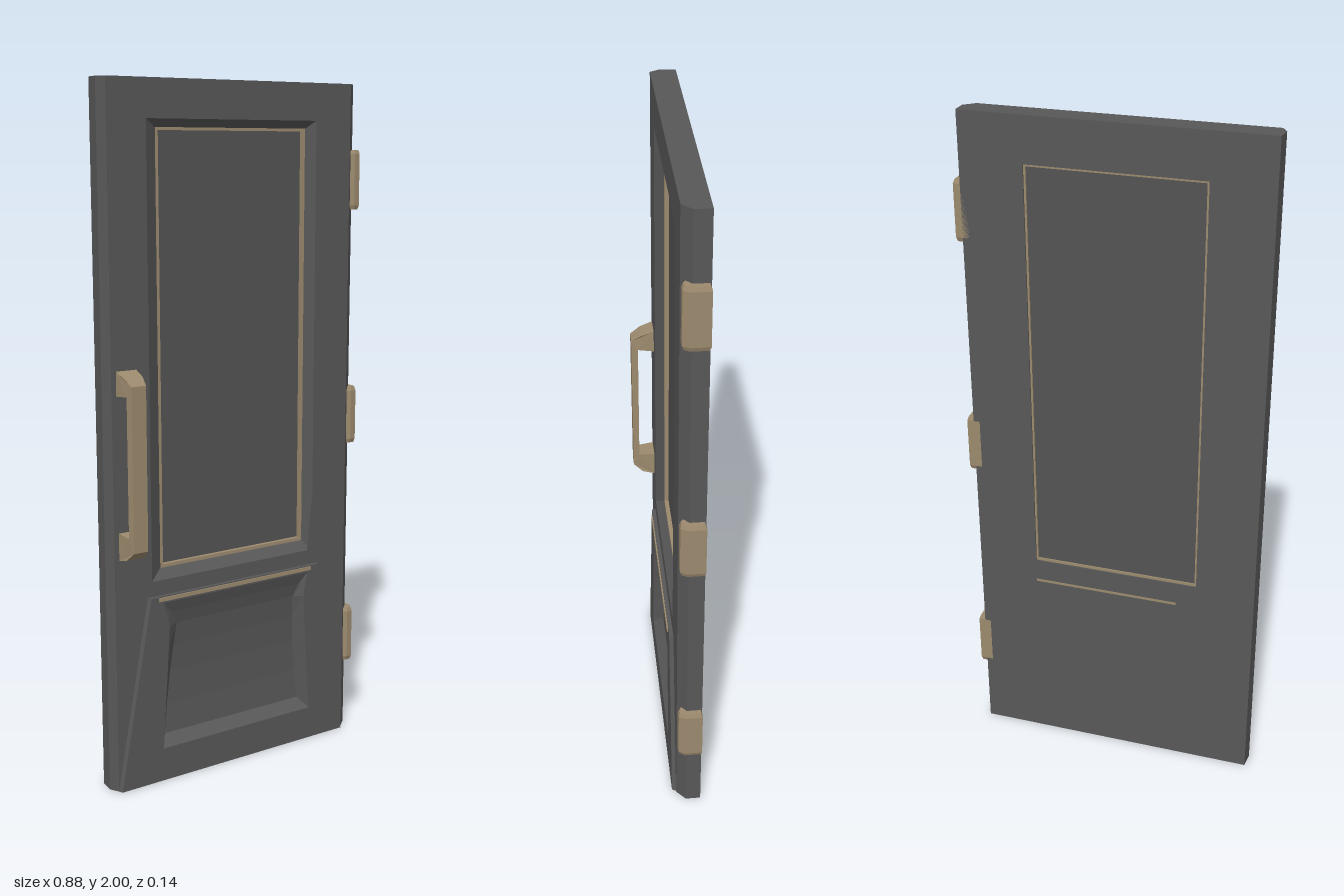
import * as THREE from 'three';

const charcoal = new THREE.MeshStandardMaterial({ color: 0x585858, side: THREE.DoubleSide });
charcoal.name = 'charcoal paint';
const smoke = new THREE.MeshStandardMaterial({ color: 0x545454 });
smoke.name = 'smoked glass';
const bronze = new THREE.MeshStandardMaterial({ color: 0x9c8a6e });
bronze.name = 'pale bronze';

const MID = -0.025; // depth where the side edges change angle

function add(parent, name, geometry, material) {
  const mesh = new THREE.Mesh(geometry, material);
  mesh.name = name;
  parent.add(mesh);
  return mesh;
}

const polygon = (points) => new THREE.Shape(points.map(([x, y]) => new THREE.Vector2(x, y)));
const rect = (x0, y0, x1, y1) => polygon([[x0, y0], [x1, y0], [x1, y1], [x0, y1]]);

// Extrude from z0 to z1, then move each vertex by an optional rule
function slab(shape, holes, z0, z1, rule) {
  shape.holes = holes;
  const geometry = new THREE.ExtrudeGeometry(shape, { depth: z1 - z0, bevelEnabled: false });
  geometry.translate(0, 0, z0);
  if (rule) bend(geometry, rule);
  return geometry;
}

function bend(geometry, rule) {
  const p = geometry.attributes.position;
  const v = new THREE.Vector3();
  for (let i = 0; i < p.count; i++) {
    rule(v.fromBufferAttribute(p, i));
    p.setXYZ(i, v.x, v.y, v.z);
  }
  geometry.computeVertexNormals();
}

const box = (x0, x1, y0, y1, z0, z1) =>
  new THREE.BoxGeometry(x1 - x0, y1 - y0, z1 - z0).translate((x0 + x1) / 2, (y0 + y1) / 2, (z0 + z1) / 2);

// Waisted outline of the lower recess, listed from top to bottom
const recess = [[-0.275, 0.545], [-0.255, 0.47], [-0.28, 0.1], [0.25, 0.1], [0.225, 0.47], [0.24, 0.545]];

// Scooped floor and side walls of the lower recess, lofted from rows
function scoop() {
  // y, outer left, inner left, inner right, outer right, floor z
  const rows = [
    [0.545, -0.275, -0.275, 0.24, 0.24, 0.014],
    [0.51, -0.266, -0.245, 0.217, 0.233, 0.003],
    [0.47, -0.255, -0.22, 0.2, 0.225, -0.007],
    [0.4, -0.26, -0.225, 0.204, 0.23, -0.016],
    [0.32, -0.265, -0.235, 0.21, 0.235, -0.021],
    [0.22, -0.272, -0.246, 0.218, 0.242, -0.022],
    [0.13, -0.278, -0.258, 0.227, 0.248, -0.018],
    [0.1, -0.28, -0.28, 0.25, 0.25, 0.014],
  ];
  const positions = [];
  const corners = ([y, a, b, c, d, z]) => [[a, y, 0.014], [b, y, z], [c, y, z], [d, y, 0.014]];
  for (let r = 0; r + 1 < rows.length; r++) {
    const top = corners(rows[r]);
    const low = corners(rows[r + 1]);
    for (let i = 0; i < 3; i++) {
      positions.push(...low[i], ...low[i + 1], ...top[i + 1], ...low[i], ...top[i + 1], ...top[i]);
    }
  }
  const geometry = new THREE.BufferGeometry();
  geometry.setAttribute('position', new THREE.Float32BufferAttribute(positions, 3));
  geometry.computeVertexNormals();
  return geometry;
}

export function createModel() {
  const door = new THREE.Group();
  door.name = 'door';

  // Door leaf: back layer, and front layer with sloped edges and window rim
  const pane = () => rect(-0.26, 0.64, 0.24, 1.87);
  add(door, 'leafBack', slab(rect(-0.44, 0, 0.42, 2), [pane()], -0.07, MID, (v) => {
    if (v.x < -0.4 && v.z < -0.05) v.x = -0.435;
  }), charcoal);
  add(door, 'leafFront', slab(rect(-0.44, 0, 0.42, 2), [pane(), polygon(recess)], MID, 0.002, (v) => {
    if (v.z < 0) return;
    if (v.x < -0.4) v.x = -0.425;
    else if (v.x > 0.4) v.x = 0.39;
    else if (v.y > 0.6) {
      v.x += v.x < 0 ? -0.045 : 0.025;
      v.y += v.y > 1 ? 0.024 : -0.03;
    }
  }), charcoal);

  // Window pane and its thin trim
  add(door, 'windowPane', box(-0.262, 0.242, 0.638, 1.872, -0.062, -0.035), smoke);
  add(door, 'windowTrim', slab(rect(-0.262, 0.638, 0.242, 1.872), [rect(-0.254, 0.648, 0.234, 1.864)], -0.066, -0.022), bronze);

  // Lower kick panel with its scooped recess
  const kick = polygon([[-0.42, 0], [0.38, 0], [0.277, 0.565], [-0.315, 0.565]]);
  add(door, 'kickPanel', slab(kick, [polygon(recess)], 0, 0.014, (v) => {
    if (v.z < 0.01 && (v.y < 0.01 || v.y > 0.56)) v.x += v.x < 0 ? -0.006 : 0.008;
  }), charcoal);
  add(door, 'kickRecess', scoop(), charcoal);
  add(door, 'kickTrim', box(-0.29, 0.25, 0.551, 0.562, 0.005, 0.018), bronze);
  add(door, 'backTrim', box(-0.2, 0.24, 0.566, 0.573, -0.072, -0.068), bronze);

  // Pull handle: a bracket profile, tapered toward the grip
  const profile = polygon([[0, 0.69], [0.04, 0.7], [0.068, 0.725], [0.07, 1.19], [0.04, 1.21], [0, 1.225],
    [0, 1.155], [0.05, 1.16], [0.05, 0.765], [0, 0.77]]);
  const handle = new THREE.ExtrudeGeometry(profile, { depth: 0.064, bevelEnabled: false });
  handle.rotateY(-Math.PI / 2);
  // The profile's first axis becomes depth
  bend(handle, (v) => {
    const taper = 1 - 0.3 * Math.max(0, (v.z - 0.03) / 0.04);
    v.x = -0.378 + (v.x + 0.032) * taper;
  });
  add(door, 'pullHandle', handle, bronze);

  // Three hinges wrapped round the right-hand edge
  const hinges = new THREE.Group();
  hinges.name = 'hinges';
  door.add(hinges);
  for (const y of [0.305, 1.015, 1.725]) {
    const section = polygon([[0.405, 0.066], [0.436, 0.066], [0.436, 0.02], [0.427, 0.004], [0.412, 0.003], [0.4, 0.012]]);
    const geometry = new THREE.ExtrudeGeometry(section, {
      depth: 0.15, bevelThickness: 0.012, bevelSize: 0.004, bevelSegments: 1,
    });
    geometry.translate(0, 0, -0.075).rotateX(-Math.PI / 2);
    add(hinges, 'hinge', geometry, bronze).position.y = y;
  }
  return door;
}
